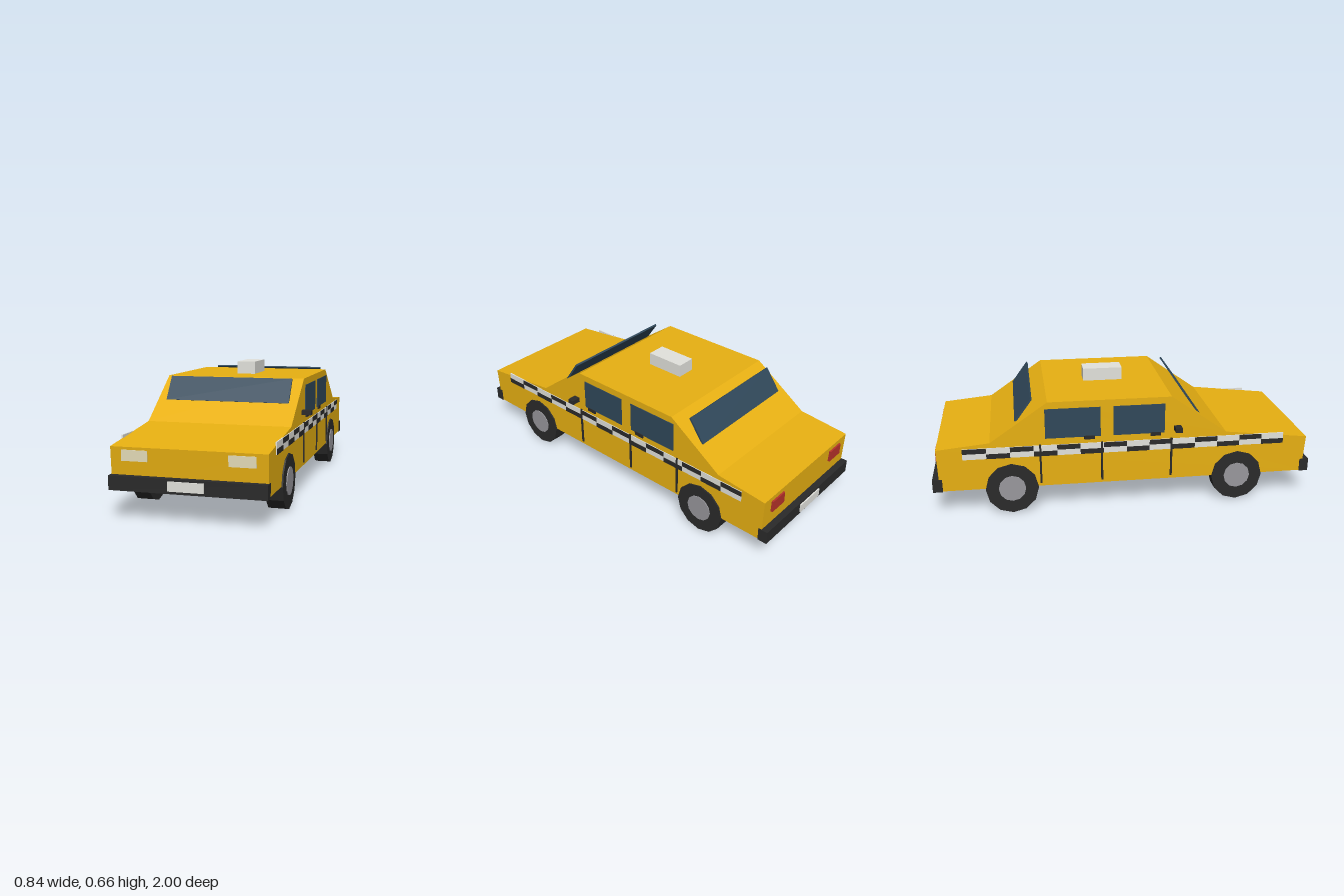
import * as THREE from 'three';

const mat = (name, color) => {
  const m = new THREE.MeshStandardMaterial({ color });
  m.name = name;
  return m;
};

export function createModel() {
  const yellow = mat('yellow paint', 0xe9b112);
  const black = mat('black rubber', 0x2a2a2a);
  const glass = mat('dark glass', 0x30485a);
  const white = mat('off white', 0xe2e2dc);
  const cream = mat('headlight cream', 0xe4dcb8);
  const red = mat('tail red', 0xb5322a);
  const steel = mat('hub grey', 0x98979c);

  const car = new THREE.Group();
  car.name = 'taxi';

  const add = (name, geometry, material, x = 0, y = 0, z = 0) => {
    const m = new THREE.Mesh(geometry, material);
    m.name = name;
    m.position.set(x, y, z);
    car.add(m);
    return m;
  };
  // Box given by its x, y and z ranges
  const box = (name, material, [x0, x1], [y0, y1], [z0, z1]) =>
    add(name, new THREE.BoxGeometry(Math.abs(x1 - x0), y1 - y0, Math.abs(z1 - z0)), material,
      (x0 + x1) / 2, (y0 + y1) / 2, (z0 + z1) / 2);

  // Body: side profile (z, y) extruded across the width
  const profile = [[0.957, 0.14], [0.97, 0.335], [0.528, 0.387], [0.235, 0.595],
    [-0.4, 0.595], [-0.695, 0.392], [-0.964, 0.366], [-0.957, 0.14]];
  const shape = new THREE.Shape(profile.map(([z, y]) => new THREE.Vector2(z, y)));
  const body = new THREE.ExtrudeGeometry(shape, { depth: 0.74, bevelEnabled: false });
  body.rotateY(-Math.PI / 2).translate(0.37, 0, 0);
  add('body', body, yellow);

  // Windscreens stand steeper than the body slopes
  const screen = new THREE.BoxGeometry(0.65, 0.142, 0.01);
  add('windscreen', screen, glass, 0, 0.539, 0.349).rotation.x = -0.61;
  add('rearWindow', screen, glass, 0, 0.542, -0.52).rotation.x = 0.63;

  // Roof sign
  box('roofSign', white, [-0.05, 0.05], [0.59, 0.662], [-0.187, 0.022]);

  // Bumpers and number plates
  box('frontBumper', black, [-0.373, 0.373], [0.137, 0.205], [0.945, 0.993]);
  box('rearBumper', black, [-0.373, 0.373], [0.137, 0.205], [-0.993, -0.943]);
  box('frontPlate', white, [-0.085, 0.085], [0.15, 0.195], [0.992, 1]);
  box('rearPlate', white, [-0.085, 0.085], [0.15, 0.195], [-1, -0.992]);

  // Wheel shapes, axis along x
  const tyre = new THREE.CylinderGeometry(0.136, 0.136, 0.085, 12).rotateZ(Math.PI / 2).toNonIndexed();
  const hub = new THREE.CylinderGeometry(0.07, 0.07, 0.094, 12).rotateZ(Math.PI / 2).toNonIndexed();
  tyre.computeVertexNormals();
  hub.computeVertexNormals();

  for (const s of [1, -1]) {
    const side = (name, material, xs, ys, zs) => box(name, material, xs.map(x => x * s), ys, zs);

    for (const z of [0.595, -0.592]) {
      add('tyre', tyre, black, s * 0.335, 0.136, z);
      add('hub', hub, steel, s * 0.335, 0.138, z);
    }

    // Lamps
    side('headlight', cream, [0.19, 0.316], [0.271, 0.322], [0.955, 0.973]);
    side('tailLight', red, [0.21, 0.31], [0.28, 0.34], [-0.972, -0.955]);

    // Side windows, handles and mirror
    side('frontSideWindow', glass, [0.367, 0.374], [0.402, 0.559], [-0.067, 0.2]);
    side('rearSideWindow', glass, [0.367, 0.374], [0.402, 0.559], [-0.415, -0.132]);
    for (const z of [0.153, -0.19])
      side('doorHandle', black, [0.366, 0.378], [0.388, 0.407], [z - 0.027, z + 0.027]);
    side('mirror', black, [0.365, 0.419], [0.413, 0.437], [0.25, 0.286]);

    // Door gaps
    for (const z of [0.238, -0.126, -0.442])
      side('doorGap', black, [0.367, 0.3765], [0.157, 0.37], [z - 0.005, z + 0.005]);

    // Chequered band: white strip with alternating dark cells
    side('chequerBand', white, [0.367, 0.3735], [0.308, 0.366], [-0.834, 0.84]);
    const cell = 1.674 / 14;
    for (let i = 0; i < 14; i++) {
      const y = i % 2 ? 0.339 : 0.308, z = 0.84 - i * cell;
      side('darkCheck', black, [0.368, 0.3755], [y, y + 0.026], [z - cell, z]);
    }
  }
  return car;
}
